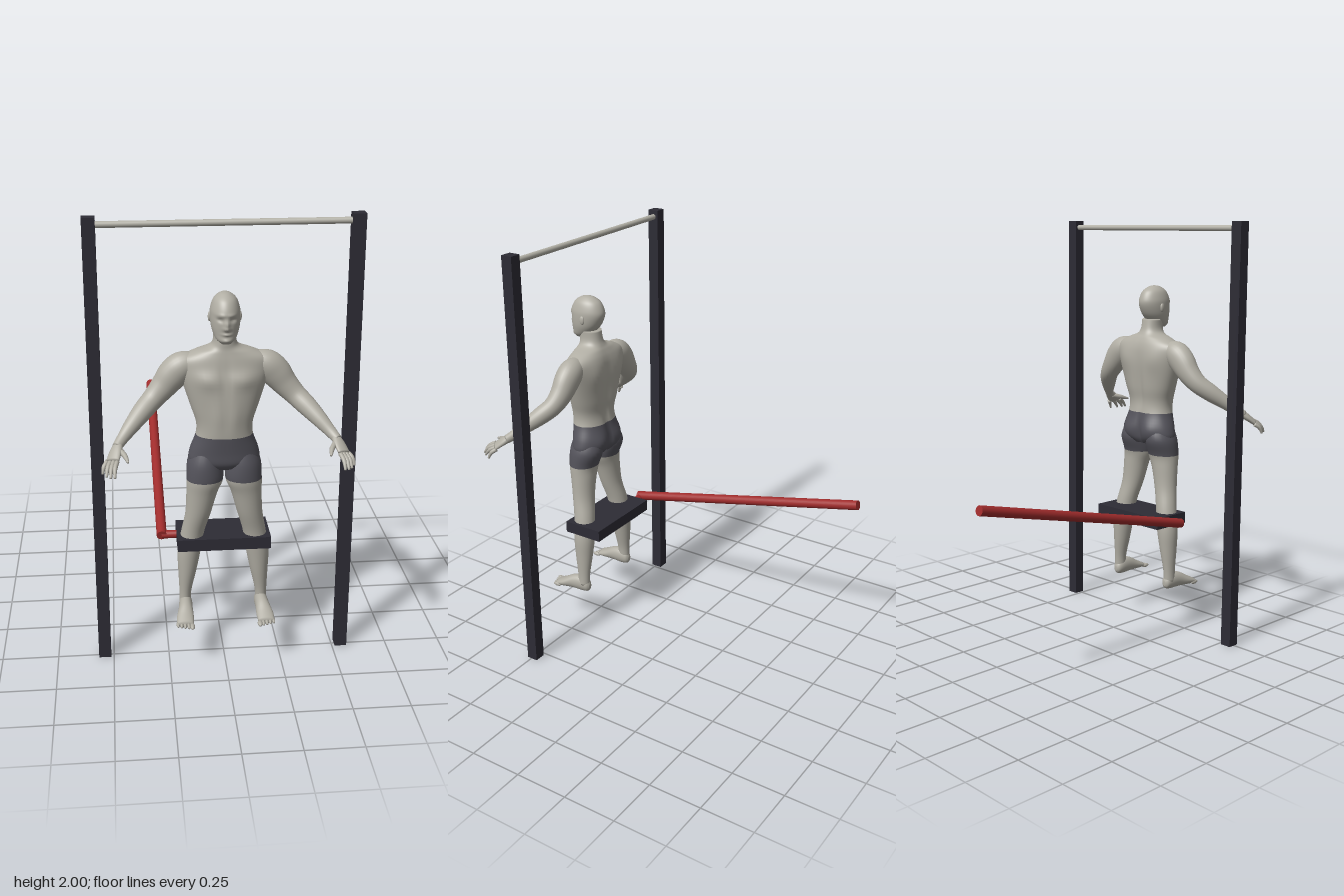
import * as THREE from 'three';

const mat = (name, color) => Object.assign(new THREE.MeshStandardMaterial({ color }), { name });
const V = (x, y, z) => new THREE.Vector3(x, y, z);
const X = V(1, 0, 0), Y = V(0, 1, 0), Z = V(0, 0, 1);

// Smooth Catmull-Rom resampling of rows of numbers
function resample(rows, sub) {
  const out = [], at = i => rows[Math.max(0, Math.min(rows.length - 1, i))];
  for (let i = 0; i < rows.length - 1; i++)
    for (let k = 0; k < sub; k++) {
      const t = k / sub, [a, b, c, d] = [at(i - 1), at(i), at(i + 1), at(i + 2)];
      out.push(b.map((_, n) => b[n] + 0.5 * t * (c[n] - a[n] + t * (2 * a[n] - 5 * b[n] + 4 * c[n] - d[n]
        + t * (3 * (b[n] - c[n]) + d[n] - a[n])))));
    }
  out.push(rows[rows.length - 1]);
  return out;
}

// Skin over cross-sections [x, y, z, ru, rv]; without v, rings follow the path
function loft(rows, { u = X, v = null, n = 28, sub = 5, power = 2, shape = null, slot = () => 0 } = {}) {
  const rings = resample(rows, sub), pos = [], idx = [], last = rings.length - 1;
  const centre = i => V(rings[i][0], rings[i][1], rings[i][2]);
  const sq = c => Math.sign(c) * Math.abs(c) ** (2 / power);
  const add = p => { if (shape) shape(p); pos.push(p.x, p.y, p.z); };
  rings.forEach((r, i) => {
    let a = u, b = v;
    if (!v) {
      const t = centre(Math.min(last, i + 1)).sub(centre(Math.max(0, i - 1))).normalize();
      b = t.clone().cross(u).normalize();
      a = b.clone().cross(t);
    }
    for (let j = 0; j < n; j++) {
      const w = j / n * Math.PI * 2;
      add(centre(i).addScaledVector(a, r[3] * sq(Math.cos(w))).addScaledVector(b, r[4] * sq(Math.sin(w))));
    }
  });
  add(centre(0)); add(centre(last));
  const g = new THREE.BufferGeometry(), c0 = n * (last + 1);
  for (let i = 0; i < last; i++) {
    const start = idx.length;
    for (let j = 0; j < n; j++) {
      const k = (j + 1) % n, p = i * n, q = p + n;
      if (i === 0) idx.push(c0, k, j);
      idx.push(p + j, p + k, q + j, p + k, q + k, q + j);
      if (i === last - 1) idx.push(c0 + 1, q + j, q + k);
    }
    g.addGroup(start, idx.length - start, slot((rings[i][1] + rings[i + 1][1]) / 2));
  }
  g.setAttribute('position', new THREE.Float32BufferAttribute(pos, 3));
  g.setIndex(idx);
  g.computeVertexNormals();
  return g;
}

// Mirrored muscle bumps: [x, y, side (+1 front, -1 back), spreadX, spreadY, amount]
const bumps = (list, cz) => p => {
  const side = Math.max(-1, Math.min(1, (p.z - cz) / 0.04));
  for (const [x, y, s, sx, sy, a] of list) {
    const f = Math.max(0, side * s);
    p.z += s * f * a * Math.exp(-(((Math.abs(p.x) - x) / sx) ** 2) - ((p.y - y) / sy) ** 2);
  }
};

export function createModel() {
  const model = new THREE.Group();
  const skin = mat('stoneSkin', 0xb1aea4), shorts = mat('greyShorts', 0x55545c);
  const dark = mat('darkFrame', 0x2d2c35), red = mat('redTube', 0xa02c2c), metal = mat('paleMetal', 0xb4b2a8);
  const add = (name, geo, material, parent = model) => {
    const m = new THREE.Mesh(geo, material);
    m.name = name;
    parent.add(m);
    return m;
  };
  const rod = (name, a, b, r, material) => {
    const m = add(name, new THREE.CylinderGeometry(r, r, a.distanceTo(b), 24), material);
    m.position.copy(a).lerp(b, 0.5);
    m.quaternion.setFromUnitVectors(Y, b.clone().sub(a).normalize());
  };

  // Frame, knee platform and red lever
  for (const s of [-1, 1])
    add('post', new THREE.BoxGeometry(0.054, 2, 0.054), dark).position.set(s * 0.54, 1, 0.495);
  rod('topBar', V(-0.515, 1.968, 0.493), V(0.515, 1.968, 0.493), 0.0135, metal);
  add('platform', new THREE.BoxGeometry(0.41, 0.055, 0.2), dark).position.set(0, 0.557, 0.44);
  rod('lever', V(-0.271, 0.56, 0.435), V(-0.271, 0.842, -0.795), 0.0225, red);
  rod('leverArm', V(-0.271, 0.557, 0.42), V(-0.18, 0.557, 0.42), 0.018, red);

  const body = new THREE.Group();
  body.name = 'figure';
  model.add(body);
  const flat = { v: Z };

  // Torso, shorts below the waist
  add('torso', loft([
    [0, 1.53, 0.505, 0.047, 0.05], [0, 1.485, 0.502, 0.049, 0.055], [0, 1.46, 0.497, 0.068, 0.06],
    [0, 1.44, 0.493, 0.125, 0.067], [0, 1.41, 0.49, 0.185, 0.076], [0, 1.37, 0.49, 0.195, 0.083],
    [0, 1.3, 0.495, 0.175, 0.09], [0, 1.2, 0.499, 0.143, 0.087], [0, 1.13, 0.504, 0.121, 0.081],
    [0, 1.073, 0.501, 0.122, 0.082], [0, 1.0, 0.492, 0.147, 0.084], [0, 0.95, 0.492, 0.15, 0.079],
    [0, 0.92, 0.492, 0.1, 0.06]], {
    ...flat, n: 56, power: 2.2, slot: y => (y < 1.073 ? 1 : 0),
    shape: bumps([[0.075, 1.33, 1, 0.05, 0.035, 0.012], [0, 1.33, 1, 0.012, 0.07, -0.008],
      [0.035, 1.17, 1, 0.025, 0.07, 0.005], [0, 1.2, -1, 0.02, 0.15, -0.014],
      [0.09, 1.34, -1, 0.05, 0.06, 0.009], [0.07, 0.985, -1, 0.045, 0.05, 0.013],
      [0, 0.97, -1, 0.014, 0.06, -0.015]], 0.495),
  }), [skin, shorts], body);

  // Head with brow, nose, lips and eye sockets
  add('head', loft([
    [0, 1.692, 0.515, 0.004, 0.006], [0, 1.686, 0.515, 0.024, 0.033], [0, 1.665, 0.515, 0.047, 0.066],
    [0, 1.63, 0.516, 0.06, 0.085], [0, 1.6, 0.517, 0.063, 0.087], [0, 1.56, 0.525, 0.06, 0.077],
    [0, 1.53, 0.536, 0.052, 0.063], [0, 1.505, 0.551, 0.04, 0.047], [0, 1.489, 0.56, 0.022, 0.026]], {
    ...flat, n: 56, sub: 8,
    shape: bumps([[0, 1.575, 1, 0.009, 0.017, 0.013], [0, 1.557, 1, 0.013, 0.009, 0.011],
      [0.026, 1.593, 1, 0.013, 0.009, -0.009], [0.02, 1.613, 1, 0.02, 0.008, 0.004],
      [0, 1.533, 1, 0.018, 0.006, 0.006], [0, 1.506, 1, 0.018, 0.009, 0.006]], 0.53),
  }), skin, body);

  for (const s of [-1, 1]) {
    const side = s > 0 ? 'left' : 'right';
    const m = rows => rows.map(([x, ...r]) => [s * x, ...r]);
    const ball = (name, x, y, z, a, b, c) => {
      const g = new THREE.SphereGeometry(1, 16, 10).scale(a, b, c);
      add(side + name, g, skin, body).position.set(s * x, y, z);
    };
    ball('Ear', 0.063, 1.587, 0.507, 0.007, 0.021, 0.013);

    // Leg with short trouser leg
    add(side + 'Leg', loft(m([
      [0.075, 1.0, 0.49, 0.06, 0.07], [0.082, 0.94, 0.492, 0.077, 0.083], [0.084, 0.865, 0.507, 0.079, 0.069],
      [0.097, 0.8, 0.504, 0.067, 0.06], [0.113, 0.7, 0.496, 0.056, 0.053], [0.136, 0.6, 0.478, 0.051, 0.051],
      [0.152, 0.5, 0.47, 0.051, 0.052], [0.161, 0.4, 0.469, 0.04, 0.044], [0.17, 0.3, 0.468, 0.027, 0.032],
      [0.172, 0.24, 0.468, 0.026, 0.03]]), { ...flat, slot: y => (y > 0.865 ? 1 : 0) }), [skin, shorts], body);

    // Foot and toes
    add(side + 'Foot', loft(m([
      [0.17, 0.228, 0.434, 0.008, 0.012], [0.17, 0.232, 0.445, 0.022, 0.03], [0.17, 0.238, 0.475, 0.029, 0.041],
      [0.173, 0.235, 0.53, 0.032, 0.037], [0.178, 0.222, 0.58, 0.038, 0.024],
      [0.18, 0.212, 0.622, 0.036, 0.013]]), { v: Y }), skin, body);
    for (let i = 0; i < 5; i++)
      ball('Toe', 0.15 + i * 0.0155, 0.208, 0.632 - i * 0.005, i ? 0.0075 : 0.011, 0.01, 0.023);

    // Arm from shoulder to wrist
    add(side + 'Arm', loft(m([
      [0.12, 1.385, 0.49, 0.045, 0.045], [0.175, 1.372, 0.49, 0.057, 0.062], [0.215, 1.335, 0.49, 0.056, 0.065],
      [0.255, 1.285, 0.493, 0.05, 0.055], [0.3, 1.237, 0.508, 0.044, 0.046], [0.345, 1.197, 0.545, 0.041, 0.042],
      [0.39, 1.155, 0.59, 0.033, 0.034], [0.43, 1.115, 0.632, 0.023, 0.025],
      [0.455, 1.09, 0.665, 0.02, 0.02]]), { u: Z }), skin, body);

    // Hand, four fingers and thumb
    add(side + 'Palm', loft(m([
      [0.448, 1.097, 0.655, 0.02, 0.018], [0.46, 1.078, 0.683, 0.029, 0.016],
      [0.474, 1.052, 0.718, 0.032, 0.012]]), { u: V(-s * 0.75, 0.15, 0.64).normalize(), n: 20 }), skin, body);
    for (let i = 0; i < 4; i++) {
      const f = i / 3, k = [0.455 + 0.04 * f, 1.056 - 0.012 * f, 0.735 - 0.037 * f];
      const t = [0.466 + 0.05 * f, 1.008 - 0.008 * f, 0.793 - 0.058 * f * f - 0.004 * f];
      add(side + 'Finger', loft(m([
        [...k, 0.0095, 0.0095],
        [(k[0] + t[0]) / 2 + 0.004, (k[1] + t[1]) / 2 + 0.006, (k[2] + t[2]) / 2 + 0.004, 0.009, 0.009],
        [...t, 0.005, 0.005]]), { n: 12, sub: 4 }), skin, body);
    }
    add(side + 'Thumb', loft(m([
      [0.447, 1.083, 0.675, 0.012, 0.012], [0.424, 1.072, 0.715, 0.011, 0.011],
      [0.412, 1.06, 0.758, 0.005, 0.005]]), { n: 12 }), skin, body);
  }
  return model;
}
